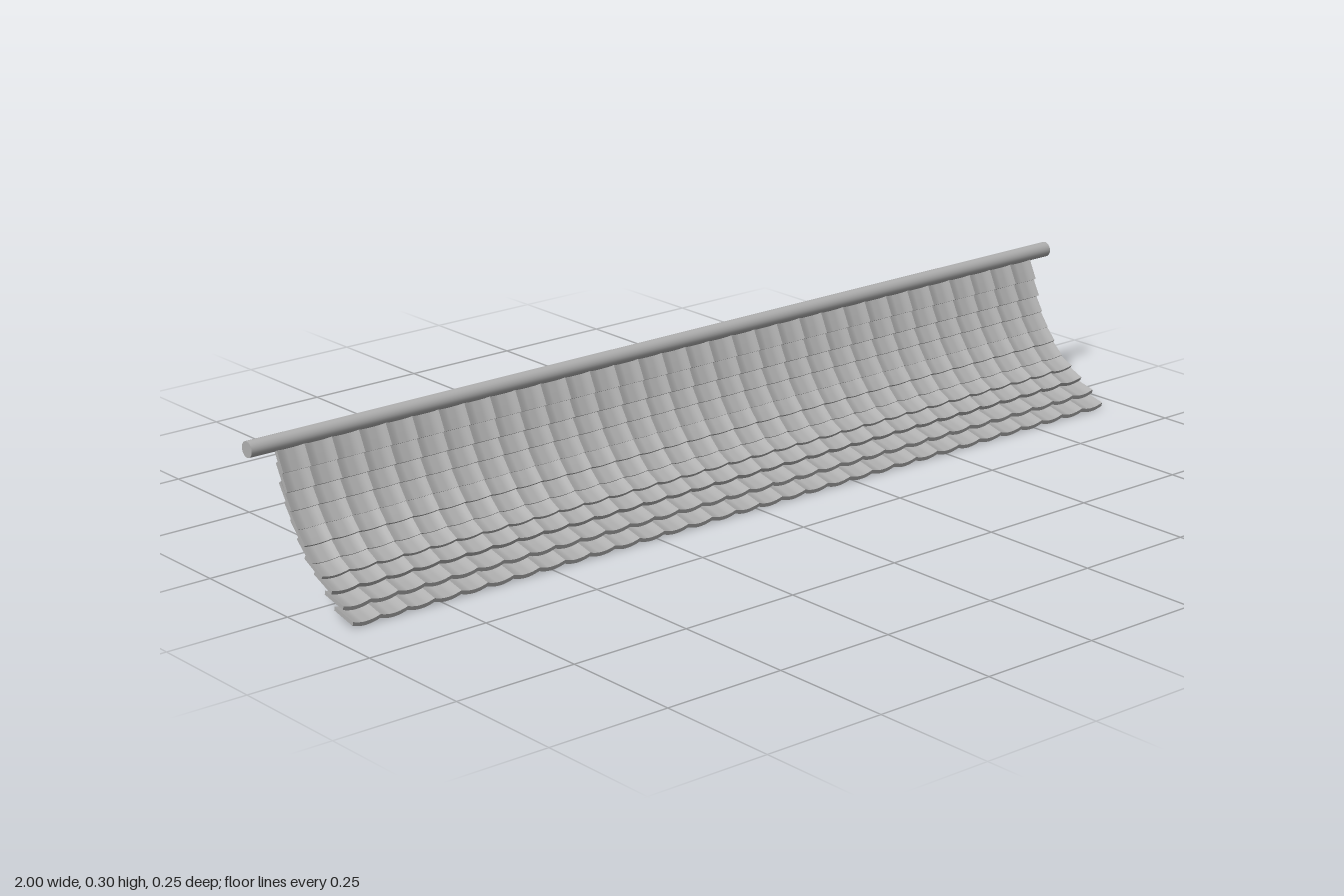
import * as THREE from 'three';
import { toCreasedNormals } from 'three/addons/utils/BufferGeometryUtils.js';

const COLUMNS = 32, SPAN = 1.89, LENGTH = 0.057;

// Dished tile: shallow arc section, bulging downward, extruded along the slope
function tileGeometry(width) {
  const half = width / 2, sag = 0.006, thick = 0.008, steps = 8;
  const top = (x) => 0.007 - sag * (1 - (x / half) ** 2);
  const points = [];
  for (let i = 0; i <= steps; i++) {
    const x = -half + (width * i) / steps;
    points.push(new THREE.Vector2(x, top(x) - thick));
  }
  for (let i = steps; i >= 0; i--) {
    const x = -half + (width * i) / steps;
    points.push(new THREE.Vector2(x, top(x)));
  }
  const geometry = new THREE.ExtrudeGeometry(new THREE.Shape(points), { depth: LENGTH, bevelEnabled: false });
  geometry.translate(0, 0, -LENGTH / 2);
  return toCreasedNormals(geometry, 0.6);
}

export function createModel() {
  const model = new THREE.Group();
  model.name = 'tiledCanopy';
  const grey = new THREE.MeshStandardMaterial({ color: 0xb0b0b0 });
  grey.name = 'grey';

  // Ridge pole along the top edge
  const pole = new THREE.Mesh(new THREE.CylinderGeometry(0.0155, 0.0155, 2, 32), grey);
  pole.name = 'ridgePole';
  pole.rotation.z = Math.PI / 2;
  pole.position.set(0, 0.285, -0.108);
  model.add(pole);

  // Overlapping rows from the eave up: centre z, centre y, slope in degrees
  const rows = [
    [0.094, 0.0135, 13], [0.066, 0.035, 13], [0.033, 0.059, 23], [0.004, 0.079, 26], [-0.022, 0.103, 42],
    [-0.043, 0.132, 47], [-0.062, 0.159, 53], [-0.078, 0.191, 57], [-0.087, 0.225, 62], [-0.097, 0.259, 64],
  ];
  const pitch = SPAN / COLUMNS;
  const geometry = tileGeometry(pitch);
  rows.forEach(([z, y, slope], r) => {
    const row = new THREE.Group();
    row.name = `tileRow${r + 1}`;
    row.position.set(0, y, z);
    row.rotation.x = THREE.MathUtils.degToRad(slope);
    for (let c = 0; c < COLUMNS; c++) {
      const tile = new THREE.Mesh(geometry, grey);
      tile.name = 'tile';
      tile.position.x = (c - (COLUMNS - 1) / 2) * pitch;
      row.add(tile);
    }
    model.add(row);
  });
  return model;
}
